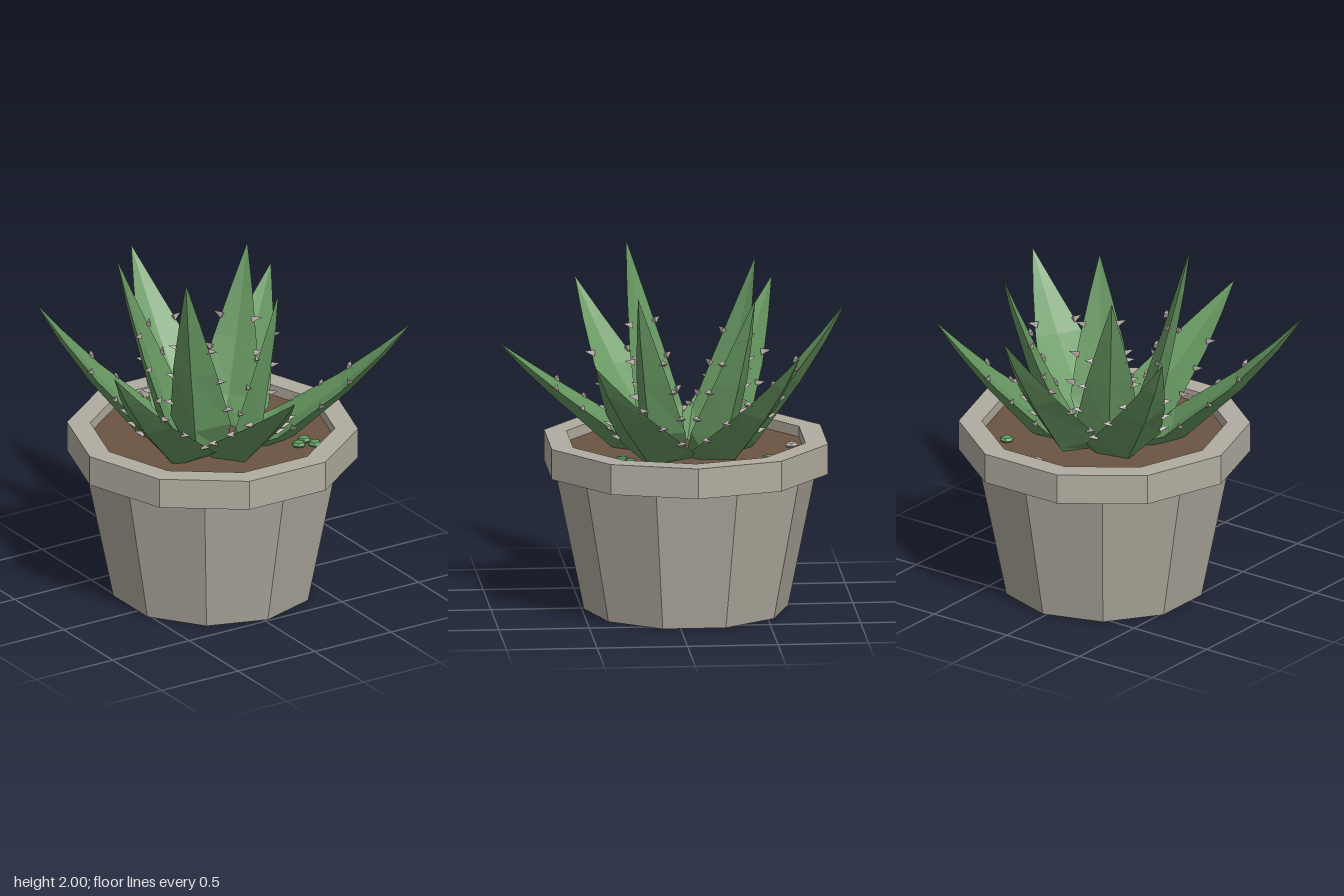
import * as THREE from 'three';

const mat = (name, color) => {
  const m = new THREE.MeshStandardMaterial({ color, flatShading: true });
  m.name = name;
  return m;
};

export function createModel() {
  const clay = mat('clay', 0xb2aca0);
  const soilBrown = mat('soil brown', 0x6c5443);
  const leafGreen = mat('leaf green', 0x669660);
  const sproutGreen = mat('sprout green', 0x5f9a5c);
  const thornGrey = mat('thorn grey', 0xb0a6a2);

  const model = new THREE.Group();
  model.name = 'pottedSucculent';
  const CX = 0.022, CZ = -0.076, SOIL = 0.9;
  const plant = new THREE.Group();
  plant.name = 'plantAndPot';
  plant.position.set(CX, 0, CZ);
  model.add(plant);

  const add = (name, geo, material, parent = plant) => {
    const mesh = new THREE.Mesh(geo, material);
    mesh.name = name;
    parent.add(mesh);
    return mesh;
  };

  // Ten-sided pot: tapered body, hollow rim and soil
  add('potBody', new THREE.CylinderGeometry(0.725, 0.565, 0.79, 10), clay).position.y = 0.395;
  const rimProfile = [[0.675, 0.79], [0.803, 0.79], [0.803, 0.96], [0.675, 0.96], [0.675, 0.79]]
    .map(([r, y]) => new THREE.Vector2(r, y));
  add('potRim', new THREE.LatheGeometry(rimProfile, 10, Math.PI / 10), clay);
  const soil = add('soil', new THREE.CylinderGeometry(0.676, 0.676, 0.1, 10), soilBrown);
  soil.position.y = SOIL - 0.05;
  soil.rotation.y = Math.PI / 10;

  // A keeled leaf that curves from the centre out to its tip
  function makeLeaf(name, [tx, ty, tz], bend, style) {
    const dx = tx - CX, dz = tz - CZ, reach = Math.hypot(dx, dz);
    const leaf = new THREE.Group();
    leaf.name = name;
    leaf.rotation.y = Math.atan2(dx, dz);
    plant.add(leaf);

    const y0 = 0.86;
    const frame = t => {
      const r = style.start + (reach - style.start) * t;
      const y = y0 + (ty - y0) * Math.pow(t, bend);
      const slope = (ty - y0) * bend * Math.pow(Math.max(t, 0.1), bend - 1);
      const a = Math.atan2(slope, reach - style.start);
      // Moves along the leaf normal by h and sideways by w
      return (w, h) => new THREE.Vector3(w, y + Math.cos(a) * h, r - Math.sin(a) * h);
    };
    const rings = style.rings.map(([t, w]) => {
      const p = frame(t), k = 1 - t;
      return [p(w, 0.02 * k), p(0, -0.02 * k), p(-w, 0.02 * k), p(0, -style.keel * k - 0.01)];
    });
    const tip = new THREE.Vector3(0, ty, reach);
    const verts = [];
    const tri = (...ps) => ps.forEach(p => verts.push(p.x, p.y, p.z));
    rings.forEach((a, i) => {
      const b = rings[i + 1];
      for (let j = 0; j < 4; j++) {
        const k = (j + 1) % 4;
        if (!b) { tri(a[j], a[k], tip); continue; }
        tri(a[j], a[k], b[j]);
        tri(a[k], b[k], b[j]);
      }
    });
    const [q0, q1, q2, q3] = rings[0];
    tri(q0, q3, q1);
    tri(q1, q3, q2);
    const geo = new THREE.BufferGeometry();
    geo.setAttribute('position', new THREE.Float32BufferAttribute(verts, 3));
    geo.computeVertexNormals();
    add('leafBlade', geo, leafGreen, leaf);

    // Thorns along both edges, pointing sideways and a little forward
    const widthAt = t => {
      const i = style.rings.findIndex(s => s[0] > t);
      const [t0, w0] = style.rings[i - 1], [t1, w1] = style.rings[i];
      return w0 + (w1 - w0) * (t - t0) / (t1 - t0);
    };
    for (const side of [-1, 1]) {
      for (const t of [0.34, 0.5, 0.66]) {
        const thorn = add('thorn', new THREE.ConeGeometry(0.022, 0.06, 3), thornGrey, leaf);
        thorn.position.copy(frame(t)(side * (widthAt(t) + 0.017), 0.015));
        thorn.quaternion.setFromUnitVectors(new THREE.Vector3(0, 1, 0),
          new THREE.Vector3(side, 0.25, 0.2).normalize());
      }
    }
  }

  // Wide spreading outer leaves
  const outer = {
    start: 0.12, keel: 0.13,
    rings: [[0, 0.15], [0.25, 0.215], [0.6, 0.135], [0.82, 0.065]],
  };
  [
    [[-0.96, 1.66, 0.455], 1.45], [[0.955, 1.57, 0.505], 1.4], [[-0.1, 1.49, 0.955], 1.15],
    [[-0.785, 1.68, -0.62], 1.4], [[0.765, 1.56, -0.64], 1.35], [[0.055, 1.715, -0.96], 1.3],
  ].forEach(([tip, bend]) => makeLeaf('outerLeaf', tip, bend, outer));

  // Steep inner leaves
  const inner = {
    start: 0.14, keel: 0.11,
    rings: [[0, 0.115], [0.25, 0.175], [0.55, 0.125], [0.8, 0.06]],
  };
  [[-0.345, 2, 0.225], [0.47, 1.83, -0.42], [0.27, 1.8, 0.21], [-0.34, 1.89, -0.49]]
    .forEach(tip => makeLeaf('innerLeaf', tip, 1.2, inner));

  // Small flat sprouts and a pebble lying on the soil
  const dot = (name, x, z, material) => {
    const mesh = add(name, new THREE.SphereGeometry(0.042, 6, 4), material);
    mesh.scale.y = 0.45;
    mesh.position.set(x, SOIL + 0.012, z);
  };
  [[0.32, 0.38], [0.38, 0.34], [0.4, 0.42], [0.35, -0.43], [0.53, 0.1]]
    .forEach(([x, z]) => dot('sprout', x, z, sproutGreen));
  dot('pebble', 0.03, -0.58, thornGrey);

  return model;
}
